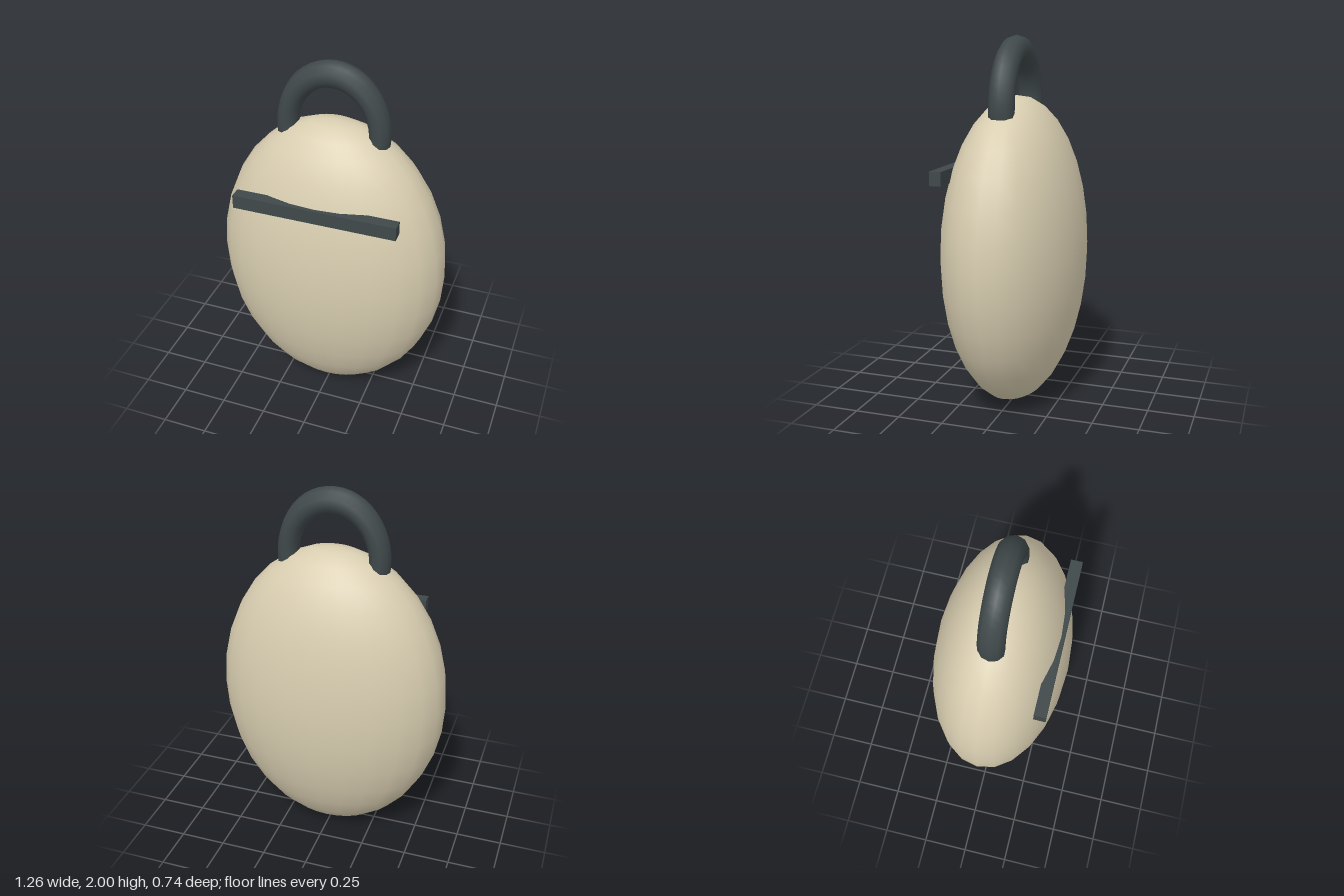
import * as THREE from 'three';

export function createModel() {
  const group = new THREE.Group();
  const shell = new THREE.MeshStandardMaterial({ name: 'beige shell', color: 0xd8cdb0 });
  const dark = new THREE.MeshStandardMaterial({ name: 'dark grey trim', color: 0x3f484a });

  const add = (name, geometry, material, x, y, z) => {
    const mesh = new THREE.Mesh(geometry, material);
    mesh.name = name;
    mesh.position.set(x, y, z);
    group.add(mesh);
    return mesh;
  };

  // Flattened egg-shaped body
  const bodyShape = new THREE.SphereGeometry(1, 24, 16).scale(0.63, 0.843, 0.37);
  add('body', bodyShape, shell, 0, 0.845, 0);

  // Arched carry handle, its ends sunk into the body
  const arc = Math.PI * 1.2;
  const handleShape = new THREE.TorusGeometry(0.3, 0.07, 10, 28, arc)
    .rotateZ((Math.PI - arc) / 2)
    .scale(0.82, 1, 0.98);
  add('handle', handleShape, dark, 0, 1.63, 0);

  // Straight bar across the upper front
  add('frontBar', new THREE.BoxGeometry(0.872, 0.074, 0.064), dark, 0, 1.29, 0.29);

  return group;
}
